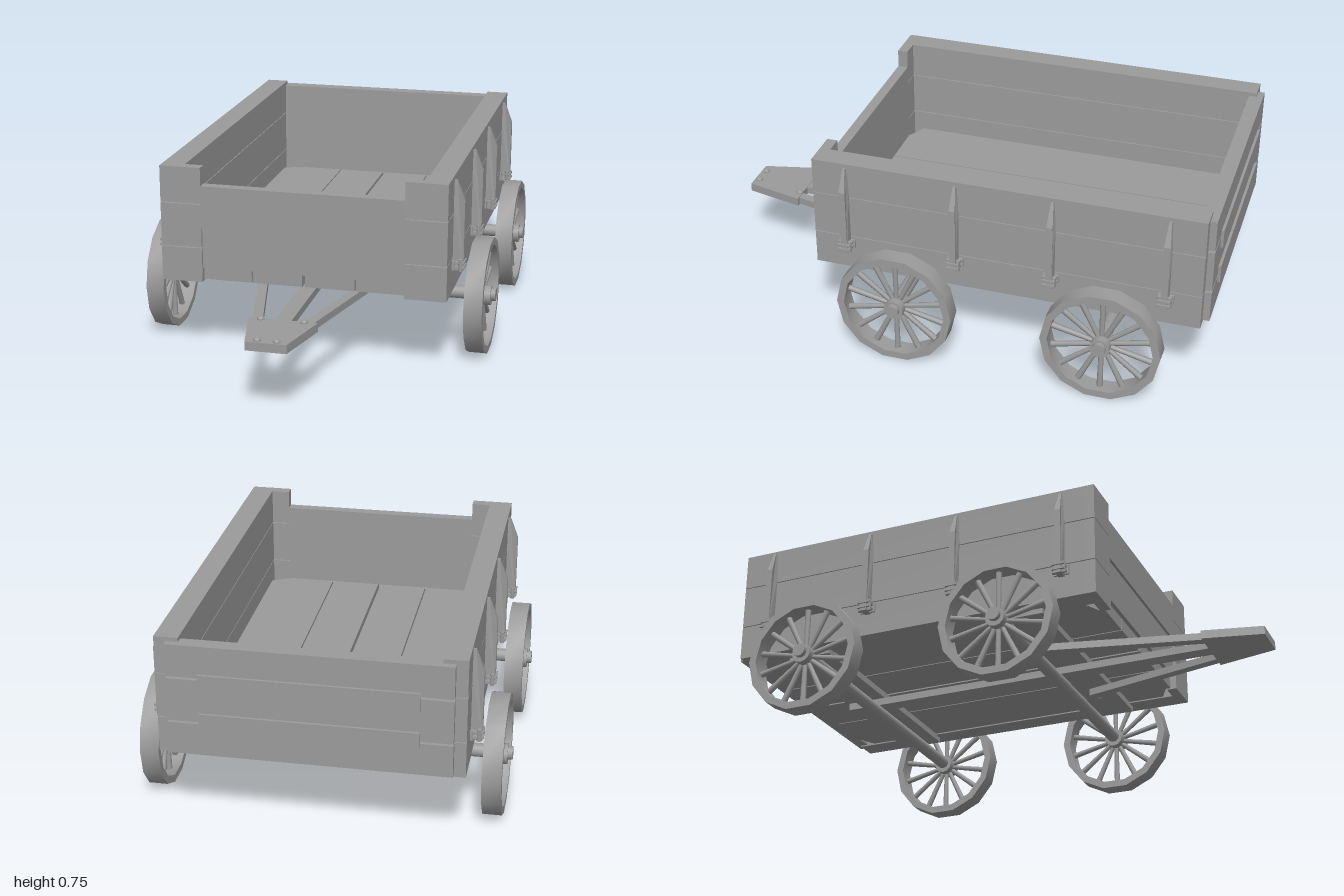
import * as THREE from 'three';
import { toCreasedNormals } from 'three/addons/utils/BufferGeometryUtils.js';

const mat = new THREE.MeshStandardMaterial({ color: 0x9b9b9b });

function add(parent, name, geometry, x = 0, y = 0, z = 0) {
  const mesh = new THREE.Mesh(geometry, mat);
  mesh.name = name;
  mesh.position.set(x, y, z);
  parent.add(mesh);
  return mesh;
}

// Box given by its two limits on each axis, in either order
function block(parent, name, x0, x1, y0, y1, z0, z1) {
  return add(parent, name, new THREE.BoxGeometry(Math.abs(x1 - x0), Math.abs(y1 - y0), Math.abs(z1 - z0)),
    (x0 + x1) / 2, (y0 + y1) / 2, (z0 + z1) / 2);
}

// Horizontal board from an outline of [x, z] points, between heights y0 and y1
function slab(parent, name, points, y0, y1) {
  const shape = new THREE.Shape(points.map(([x, z]) => new THREE.Vector2(x, -z)));
  const geo = new THREE.ExtrudeGeometry(shape, { depth: y1 - y0, bevelEnabled: false });
  geo.rotateX(-Math.PI / 2);
  return add(parent, name, geo, 0, y0, 0);
}

// Domed bolt head
function bolt(parent, x, y, z) {
  const head = add(parent, 'bolt', new THREE.SphereGeometry(0.014, 10, 8), x, y, z);
  head.scale.y = 0.7;
}

// Wheel in the XY plane, turned so that its axis lies along x
function createWheel() {
  const wheel = new THREE.Group();
  wheel.name = 'wheel';
  const sides = 14, width = 0.07;
  const ring = (r) => Array.from({ length: sides }, (_, i) => {
    const a = (i / sides) * Math.PI * 2;
    return new THREE.Vector2(Math.cos(a) * r, Math.sin(a) * r);
  });
  const rim = new THREE.Shape(ring(0.225));
  rim.holes.push(new THREE.Path(ring(0.197).reverse()));
  const rimGeo = new THREE.ExtrudeGeometry(rim, { depth: width, bevelEnabled: false });
  rimGeo.translate(0, 0, -width / 2);
  add(wheel, 'rim', toCreasedNormals(rimGeo, 0.7));
  for (let i = 0; i < sides; i++) {
    const a = ((i + 0.5) / sides) * Math.PI * 2;
    const spoke = add(wheel, 'spoke', new THREE.CylinderGeometry(0.012, 0.009, 0.175, 8),
      Math.cos(a) * 0.112, Math.sin(a) * 0.112, 0);
    spoke.rotation.z = a - Math.PI / 2;
  }
  const hub = add(wheel, 'hub', new THREE.CylinderGeometry(0.038, 0.038, 0.075, 12));
  hub.rotation.x = Math.PI / 2;
  wheel.rotation.y = Math.PI / 2;
  return wheel;
}

// Side stake with a pointed top, held by a pinned bracket
function createStake(side, z) {
  const stake = new THREE.Group();
  stake.name = 'sideStake';
  const profile = new THREE.Shape([[0.54, 0.39], [0.583, 0.39], [0.583, 0.65], [0.552, 0.735], [0.54, 0.735], [0.54, 0.65]]
    .map(([x, y]) => new THREE.Vector2(x * side, y)));
  const geo = new THREE.ExtrudeGeometry(profile, { depth: 0.024, bevelEnabled: false });
  geo.translate(0, 0, -0.012);
  const pos = geo.attributes.position;
  for (let i = 0; i < pos.count; i++) {
    if (pos.getY(i) > 0.7) pos.setZ(i, pos.getZ(i) * 0.4);
  }
  geo.computeVertexNormals();
  add(stake, 'stakePost', geo, 0, 0, z);
  block(stake, 'bracketPlate', 0.54 * side, 0.55 * side, 0.395, 0.43, z - 0.03, z + 0.03);
  for (const y of [0.401, 0.42]) {
    block(stake, 'stakeBracket', 0.54 * side, 0.588 * side, y, y + 0.008, z - 0.024, z + 0.024);
  }
  for (const dz of [-0.018, 0.018]) {
    add(stake, 'bracketPin', new THREE.CylinderGeometry(0.008, 0.008, 0.045, 8), 0.572 * side, 0.413, z + dz);
  }
  return stake;
}

export function createModel() {
  const wagon = new THREE.Group();
  wagon.name = 'wagon';
  const gap = 0.0015;
  const levels = [0.305, 0.44, 0.61, 0.75];

  // Floor planks, the outer pair with clipped corners
  const floor = new THREE.Group();
  floor.name = 'floor';
  wagon.add(floor);
  for (const s of [-1, 1]) {
    block(floor, 'floorPlank', 0.005 * s, 0.195 * s, 0.31, 0.36, -0.94, 0.485);
    slab(floor, 'outerFloorPlank', [[0.2, 0.485], [0.385, 0.485], [0.385, 0.465], [0.455, 0.43],
      [0.455, -0.9], [0.385, -0.935], [0.385, -0.965], [0.2, -0.965]].map(([x, z]) => [x * s, z]), 0.31, 0.36);
  }

  // Side walls of three planks, with stakes
  for (const s of [-1, 1]) {
    const wall = new THREE.Group();
    wall.name = s > 0 ? 'leftWall' : 'rightWall';
    wagon.add(wall);
    for (let i = 0; i < 3; i++) {
      block(wall, 'sidePlank', 0.455 * s, 0.542 * s,
        levels[i] + (i ? gap : 0), levels[i + 1] - (i < 2 ? gap : 0), -0.965, 0.47);
    }
    for (const z of [0.38, -0.045, -0.41, -0.835]) wall.add(createStake(s, z));
  }

  // Front wall: corner boards, notched upper board and recessed lower panel
  const front = new THREE.Group();
  front.name = 'frontWall';
  wagon.add(front);
  for (const s of [-1, 1]) {
    for (let i = 0; i < 3; i++) {
      block(front, 'frontCorner', 0.385 * s, 0.542 * s,
        levels[i] + (i ? gap : 0), levels[i + 1] - (i < 2 ? gap : 0), 0.47, 0.51);
    }
  }
  block(front, 'frontBoard', -0.385, 0.385, 0.52, 0.68, 0.47, 0.51);
  block(front, 'frontPanel', -0.385, 0.385, 0.36, 0.52, 0.47, 0.5);

  // Tailgate: inner boards, outer planks with open seams, and two battens
  const gate = new THREE.Group();
  gate.name = 'tailgate';
  wagon.add(gate);
  block(gate, 'innerGate', -0.455, 0.455, 0.31, 0.735, -0.965, -0.935);
  for (const [y0, y1] of [[0.315, 0.436], [0.444, 0.606], [0.614, 0.735]]) {
    block(gate, 'gatePlank', -0.5, 0.5, y0, y1, -0.99, -0.965);
  }
  for (const [y0, y1] of [[0.41, 0.48], [0.56, 0.63]]) {
    block(gate, 'gateBatten', -0.385, 0.385, y0, y1, -1, -0.99);
  }

  // Running gear: axles, bolsters and wheels
  const gear = new THREE.Group();
  gear.name = 'runningGear';
  wagon.add(gear);
  for (const [z, b0, b1] of [[0.165, 0.115, 0.285], [-0.625, -0.77, -0.6]]) {
    const axle = add(gear, 'axle', new THREE.CylinderGeometry(0.025, 0.025, 1.35, 16), 0, 0.225, z);
    axle.rotation.z = Math.PI / 2;
    block(gear, 'bolster', -0.495, 0.495, 0.285, 0.31, b0, b1);
    for (const x of [-0.31, 0.31]) bolt(gear, x, 0.284, (b0 + b1) / 2);
    for (const x of [-0.62, 0.62]) {
      const wheel = createWheel();
      wheel.position.set(x, 0.22, z);
      gear.add(wheel);
    }
  }

  // Drawbar: long pole, splayed braces and hitch plate
  const drawbar = new THREE.Group();
  drawbar.name = 'drawbar';
  wagon.add(drawbar);
  block(drawbar, 'pole', -0.03, 0.03, 0.255, 0.284, -0.76, 0.8);
  for (const s of [-1, 1]) {
    slab(drawbar, 'brace', [[0.068, 0.8], [0.105, 0.8], [0.25, 0.2], [0.21, 0.2]]
      .map(([x, z]) => [x * s, z]), 0.255, 0.283);
    bolt(drawbar, 0.035 * s, 0.288, 0.98);
    bolt(drawbar, 0.08 * s, 0.288, 0.78);
  }
  slab(drawbar, 'hitchPlate', [[-0.128, 0.77], [0.128, 0.77], [0.075, 1], [-0.075, 1]], 0.253, 0.286);

  return wagon;
}
